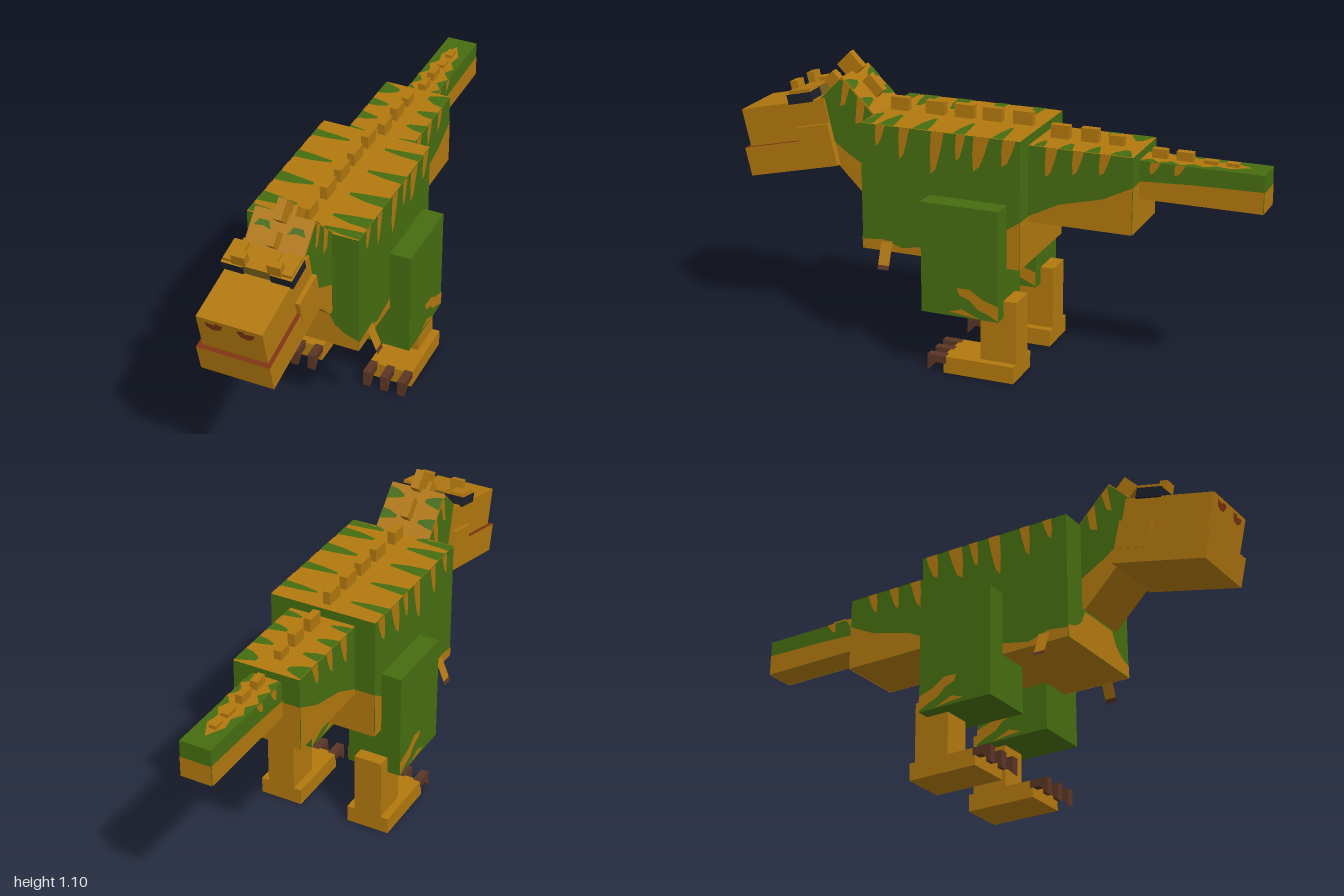
import * as THREE from 'three';

const flat = (name, color) => new THREE.MeshStandardMaterial({ name, color, side: THREE.DoubleSide });

export function createModel() {
  const model = new THREE.Group();
  model.name = 'dinosaur';
  const orange = flat('orange hide', 0xb2780f);
  const green = flat('green hide', 0x466d10);
  const brown = flat('claw brown', 0x5a3524);
  const red = flat('mouth red', 0x7d330f);
  const navy = flat('eye navy', 0x1c1f2a);
  const olive = flat('brow olive', 0x776018);

  // Box given by its ranges; mat may be one material or six (+x -x +y -y +z -z)
  function box(name, mat, [x0, x1], [y0, y1], [z0, z1], parent = model) {
    const m = new THREE.Mesh(new THREE.BoxGeometry(x1 - x0, y1 - y0, z1 - z0), mat);
    m.position.set((x0 + x1) / 2, (y0 + y1) / 2, (z0 + z1) / 2);
    m.name = name;
    parent.add(m);
    return m;
  }

  // Flat painted marking: a polygon whose 2D points are mapped onto a face
  function marking(name, mat, pts, map, parent = model) {
    const g = new THREE.ShapeGeometry(new THREE.Shape(pts.map(p => new THREE.Vector2(...p))));
    const p = g.attributes.position;
    for (let i = 0; i < p.count; i++) p.setXYZ(i, ...map(p.getX(i), p.getY(i)));
    g.computeVertexNormals();
    const m = new THREE.Mesh(g, mat);
    m.name = name;
    parent.add(m);
  }
  const E = 0.002;
  const sides = (name, mat, pts, x, parent) => [-1, 1].forEach(s =>
    marking(name, mat, pts, (z, y) => [s * (x + E), y, z], parent));
  // Green tongue reaching inward from both edges of a top face
  const tongues = (list, x, y, inner, parent) => list.forEach(([z, w]) => [-1, 1].forEach(s =>
    marking('backStripe', green, [[x, z - w], [x, z + w], [(x + inner) / 2, z + w * 0.8], [inner, z + w * 0.2], [inner, z - w * 0.3], [(x + inner) / 2, z - w * 0.7]],
      (a, b) => [s * a, y + E, b], parent)));
  // Orange stripe hanging down both side faces
  const drips = (list, x, y) => list.forEach(([z, w, len]) => sides('sideStripe', orange,
    [[z - w, y], [z + w, y], [z + w * 1.2, y - len * 0.5], [z + w * 1.1, y - len], [z + w * 0.3, y - len * 0.85], [z - w * 0.4, y - len * 0.45]], x));

  // Body
  box('body', [green, green, orange, orange, green, green], [-0.21, 0.21], [0.42, 0.9], [-0.16, 0.46]);
  sides('bellySide', orange, [[0.46, 0.42], [0.46, 0.455], [0.38, 0.465], [0.3, 0.44], [0.2, 0.46], [0, 0.5],
    [-0.1, 0.56], [-0.16, 0.6], [-0.16, 0.42]], 0.21);
  marking('bellyFront', orange, [[-0.21, 0.42], [0.21, 0.42], [0.21, 0.465], [0.16, 0.48], [0.12, 0.51], [0.095, 0.56],
    [-0.095, 0.56], [-0.12, 0.51], [-0.16, 0.48], [-0.21, 0.465]], (x, y) => [x, y, 0.46 + E]);
  marking('bellyBack', orange, [[-0.21, 0.42], [0.21, 0.42], [0.21, 0.6], [-0.21, 0.6]], (x, y) => [x, y, -0.16 - E]);
  tongues([[-0.075, 0.022], [0.075, 0.024], [0.225, 0.03], [0.36, 0.03], [0.435, 0.022]], 0.21, 0.9, 0.07);
  drips([[-0.12, 0.025, 0.1], [-0.015, 0.03, 0.13], [0.065, 0.018, 0.1], [0.155, 0.025, 0.16], [0.285, 0.02, 0.12], [0.38, 0.018, 0.08]], 0.21, 0.9);

  // Tail, two sections
  box('tailBase', [green, green, orange, orange, green, green], [-0.13, 0.13], [0.58, 0.865], [-0.55, -0.16]);
  sides('tailBaseUnderside', orange, [[-0.16, 0.58], [-0.16, 0.6], [-0.28, 0.66], [-0.44, 0.7], [-0.55, 0.755], [-0.55, 0.58]], 0.13);
  marking('tailBaseBack', orange, [[-0.13, 0.58], [0.13, 0.58], [0.13, 0.755], [-0.13, 0.755]], (x, y) => [x, y, -0.55 - E]);
  tongues([[-0.2, 0.02], [-0.3, 0.025], [-0.4, 0.025], [-0.505, 0.04]], 0.13, 0.865, 0.06);
  drips([[-0.25, 0.022, 0.11], [-0.35, 0.02, 0.09], [-0.45, 0.02, 0.08]], 0.13, 0.865);
  box('tailTip', [green, green, green, orange, green, green], [-0.06, 0.06], [0.695, 0.835], [-1, -0.55]);
  sides('tailTipUnderside', orange, [[-0.55, 0.695], [-0.55, 0.76], [-0.75, 0.77], [-1, 0.775], [-1, 0.695]], 0.06);
  marking('tailTipEnd', orange, [[-0.06, 0.695], [0.06, 0.695], [0.06, 0.772], [-0.06, 0.772]], (x, y) => [x, y, -1 - E]);
  const half = [[0.05, -0.55], [0.03, -0.59], [0.06, -0.62], [0.03, -0.66], [0.06, -0.7], [0.03, -0.74],
    [0.05, -0.78], [0.025, -0.82], [0.035, -0.87], [0, -0.94]];
  [-1, 1].forEach(s => marking('tailTipStripe', orange, [[0, -0.55], ...half], (x, z) => [s * x, 0.835 + E, z]));
  drips([[-0.61, 0.018, 0.045], [-0.7, 0.018, 0.04]], 0.06, 0.835);

  // Row of back plates: [z front, z back, base y, top y]
  [[0.43, 0.36, 0.9, 0.95], [0.29, 0.215, 0.9, 0.95], [0.175, 0.1, 0.9, 0.95], [0.065, -0.01, 0.9, 0.95], [-0.055, -0.13, 0.9, 0.95],
    [-0.2, -0.27, 0.86, 0.915], [-0.315, -0.38, 0.86, 0.915], [-0.42, -0.475, 0.86, 0.9],
    [-0.58, -0.635, 0.83, 0.87], [-0.67, -0.73, 0.83, 0.87], [-0.77, -0.82, 0.83, 0.85], [-0.85, -0.895, 0.83, 0.85]]
    .forEach(([zf, zb, y0, y1]) => box('backPlate', orange, [-0.014, 0.014], [y0, y1], [zb, zf]));

  // Neck, leaning forward at 45 degrees
  const neck = new THREE.Group();
  neck.name = 'neck';
  neck.position.set(0, 0.796, 0.526);
  neck.rotation.x = -Math.PI / 4;
  model.add(neck);
  box('neckBlock', orange, [-0.11, 0.11], [-0.1275, 0.1275], [-0.207, 0.207], neck);
  tongues([[0.0, 0.025], [0.08, 0.022], [0.165, 0.025]], 0.11, 0.1275, 0.045, neck);
  sides('neckPatch', green, [[0.455, 0.9], [0.49, 0.935], [0.5, 0.87], [0.53, 0.86], [0.52, 0.965], [0.55, 0.995], [0.57, 0.93], [0.59, 0.92],
    [0.575, 1.02], [0.59, 1.02], [0.67, 0.94], [0.64, 0.85], [0.62, 0.785], [0.56, 0.74], [0.455, 0.68]], 0.11);
  [-1, 1].forEach(s => marking('crownSpot', green, [[0.03, 0.06], [0.045, 0.09], [0.08, 0.09], [0.095, 0.065], [0.06, 0.07]],
    (x, y) => [s * x, y, 0.207 + E], neck));
  [[0.98, 0.505, 0.045, 0.08], [1.05, 0.595, 0.075, 0.075], [0.985, 0.67, 0.05, 0.055]].forEach(([y, z, w, h]) => {
    const m = box('neckPlate', orange, [-0.016, 0.016], [y - w / 2, y + w / 2], [z - h / 2, z + h / 2]);
    m.rotation.x = z > 0.65 ? Math.PI / 4 : -Math.PI / 4;
    if (z < 0.55) m.scale.set(1, 1.1, 1);
  });

  // Head, tipped down; its origin is the top front edge of the snout
  const head = new THREE.Group();
  head.name = 'head';
  head.position.set(0, 0.865, 1);
  head.rotation.x = 0.227;
  model.add(head);
  box('snout', orange, [-0.12, 0.12], [-0.148, 0], [-0.355, 0], head);
  box('lowerJaw', [orange, orange, red, orange, orange, orange], [-0.135, 0.135], [-0.255, -0.145], [-0.355, 0.018], head);
  box('jawHinge', orange, [-0.137, 0.137], [-0.2, -0.093], [-0.355, -0.22], head);
  [-1, 1].forEach(s => {
    marking('nostril', red, [[0.025, -0.015], [0.05, -0.01], [0.055, -0.02], [0.09, -0.015], [0.085, -0.035], [0.065, -0.047], [0.04, -0.042], [0.03, -0.03]],
      (x, y) => [s * x, y, E], head);
    const span = (a, b) => s > 0 ? [a, b] : [-b, -a];
    box('eye', [navy, navy, orange, navy, navy, navy], span(0.05, 0.13), [-0.005, 0.033], [-0.31, -0.21], head);
    box('browRidge', orange, span(0.07, 0.125), [0.033, 0.045], [-0.31, -0.22], head);
    box('browHorn', orange, span(0.04, 0.09), [0.033, 0.075], [-0.245, -0.215], head);
  });
  box('browBridge', [olive, olive, orange, olive, olive, olive], [-0.05, 0.05], [-0.005, 0.036], [-0.31, -0.215], head);

  // Legs, feet, claws and small arms on both sides
  const clawShape = new THREE.Shape([[0.105, 0.065], [0.178, 0.065], [0.178, 0], [0.145, 0.036], [0.105, 0.036]].map(p => new THREE.Vector2(...p)));
  [-1, 1].forEach(s => {
    const leg = new THREE.Group();
    leg.name = s > 0 ? 'leftLeg' : 'rightLeg';
    model.add(leg);
    const span = (a, b) => s > 0 ? [a, b] : [-b, -a];
    box('thigh', green, span(0.08, 0.29), [0.24, 0.66], [-0.11, 0.19], leg);
    for (const x of [0.29 + E, 0.08 - E]) {
      const map = (z, y) => [s * x, y, z];
      marking('thighPatch', orange, [[0.05, 0.35], [0.0, 0.352], [-0.05, 0.32], [-0.11, 0.3], [-0.11, 0.245], [-0.07, 0.265], [-0.03, 0.28], [0.0, 0.31], [0.04, 0.325]], map, leg);
      marking('thighPatch', orange, [[0.08, 0.255], [0.03, 0.272], [-0.04, 0.242], [0.02, 0.25]], map, leg);
    }
    box('shin', orange, span(0.13, 0.24), [0.03, 0.305], [-0.16, -0.02], leg);
    box('foot', orange, span(0.1, 0.27), [0, 0.065], [-0.16, 0.115], leg);
    for (const x of [0.115, 0.185, 0.255]) {
      const claw = new THREE.Mesh(new THREE.ExtrudeGeometry(clawShape, { depth: 0.031, bevelEnabled: false }), brown);
      claw.rotation.y = -Math.PI / 2;
      claw.position.set(s * x + 0.0155, 0.0005, 0);
      claw.name = 'claw';
      leg.add(claw);
    }
    // Arm: thin strip splayed outward, with a dark tip
    const arm = (z, y) => [s * (0.25 - (y - 0.36) * 0.4), y, z];
    marking('arm', orange, [[0.34, 0.375], [0.385, 0.375], [0.385, 0.465], [0.34, 0.465]], arm);
    marking('armClaw', brown, [[0.34, 0.36], [0.385, 0.36], [0.385, 0.375], [0.34, 0.375]], arm);
  });
  return model;
}
